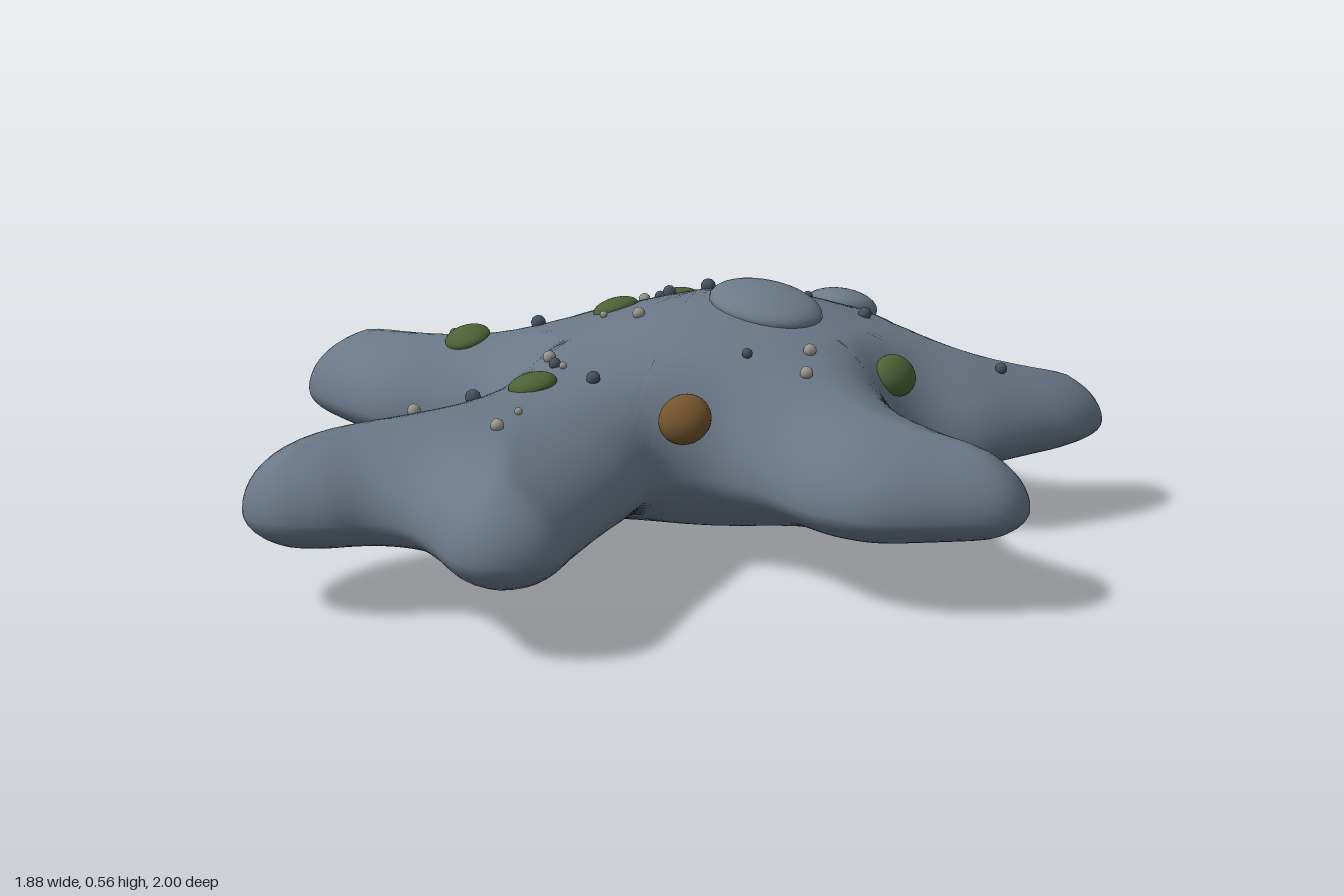
import * as THREE from 'three';
import { mergeVertices } from 'three/addons/utils/BufferGeometryUtils.js';

const mat = (name, color) => {
  const m = new THREE.MeshStandardMaterial({ color });
  m.name = name;
  return m;
};

// Outline of the lobed body, (x, z) pairs running right arm -> back -> left -> front
const OUTLINE = [
  .94, -.25, .915, -.33, .82, -.385, .7, -.375, .52, -.365, .445, -.41, .445, -.48, .52, -.6, .555, -.78,
  .56, -.85, .54, -.95, .5, -.985, .42, -1, .33, -.9, .24, -.81, .15, -.77, .08, -.8, 0, -.89, -.1, -.93, -.2, -.9,
  -.26, -.83, -.29, -.72, -.33, -.63, -.42, -.59, -.6, -.605, -.7, -.55, -.74, -.46, -.7, -.37, -.6, -.26,
  -.56, -.17, -.59, -.08, -.7, 0, -.88, .1, -.94, .19, -.92, .29, -.86, .355, -.75, .375, -.55, .36,
  -.4, .28, -.31, .25, -.24, .28, -.21, .4, -.22, .8, -.16, .945, -.08, .995, 0, .985, .08, .91, .13, .82,
  .2, .78, .3, .79, .45, .82, .53, .775, .565, .67, .495, .545, .42, .42, .35, .295, .28, .17, .297, .11,
  .345, .06, .45, .035, .65, .045, .77, 0, .87, -.12,
];
const COLUMNS = 360, RINGS = 26, MID = 0.21;
const HUB = new THREE.Vector3(-0.1, 0, -0.25);

const controls = [];
for (let i = 0; i < OUTLINE.length; i += 2) controls.push(new THREE.Vector3(OUTLINE[i], 0, OUTLINE[i + 1]));
const rim = new THREE.CatmullRomCurve3(controls, true).getSpacedPoints(COLUMNS).slice(0, COLUMNS);

// Distance from a point to the rim
function rimDistance(x, z) {
  let best = Infinity;
  for (let i = 0; i < COLUMNS; i++) {
    const a = rim[i], b = rim[(i + 1) % COLUMNS];
    const ex = b.x - a.x, ez = b.z - a.z;
    const t = THREE.MathUtils.clamp(((x - a.x) * ex + (z - a.z) * ez) / (ex * ex + ez * ez), 0, 1);
    best = Math.min(best, Math.hypot(x - a.x - t * ex, z - a.z - t * ez));
  }
  return best;
}

// Height of the upper or lower skin: a central dome fading into round-edged arms
function skinHeight(x, z, upper) {
  const dome = Math.exp(-((x - 0.03) ** 2 + (z + 0.28) ** 2) / 0.17);
  const belly = Math.exp(-(x * x + (z + 0.26) ** 2) / 0.13);
  const full = upper ? 0.376 + 0.02 * z + 0.155 * dome : 0.112 - 0.015 * z * (1 - belly) - 0.115 * belly;
  const rounding = 0.12 + 0.19 * (1 - dome) ** 2;
  const q = 1 - Math.min(rimDistance(x, z) / rounding, 1);
  return MID + (full - MID) * Math.sqrt(1 - q * q);
}

function bodyGeometry() {
  const positions = [], index = [];
  for (let r = 0; r <= 2 * RINGS; r++) {
    const s = r === 2 * RINGS ? 0 : Math.sin((r / RINGS) * Math.PI / 2);
    for (const p of rim) {
      const x = HUB.x + s * (p.x - HUB.x), z = HUB.z + s * (p.z - HUB.z);
      positions.push(x, r === RINGS ? MID : skinHeight(x, z, r < RINGS), z);
    }
  }
  for (let r = 0; r < 2 * RINGS; r++) {
    for (let i = 0; i < COLUMNS; i++) {
      const j = (i + 1) % COLUMNS, a = r * COLUMNS, b = a + COLUMNS;
      if (r > 0) index.push(a + i, b + j, a + j);
      if (r < 2 * RINGS - 1) index.push(a + i, b + i, b + j);
    }
  }
  const g = new THREE.BufferGeometry();
  g.setAttribute('position', new THREE.Float32BufferAttribute(positions, 3));
  g.setIndex(index);
  const merged = mergeVertices(g, 1e-5);
  merged.computeVertexNormals();
  return merged;
}

export function createModel() {
  const group = new THREE.Group();
  const skin = mat('slate skin', 0x697786);
  const pale = mat('pale slate', 0x6c7a88);
  const moss = mat('moss green', 0x4c6136);
  const rust = mat('rust brown', 0x74552c);
  const dark = mat('dark grit', 0x465260);
  const light = mat('light grit', 0x9a9891);

  const body = new THREE.Mesh(bodyGeometry(), skin);
  body.name = 'body';
  group.add(body);

  // Place a flattened blob on the upper skin, tilted to follow it
  const up = new THREE.Vector3(0, 1, 0);
  function addBlob(name, geometry, material, x, z, rx, ry, rz, lift = 0) {
    const e = 0.02;
    const normal = new THREE.Vector3(
      skinHeight(x - e, z, true) - skinHeight(x + e, z, true), 2 * e,
      skinHeight(x, z - e, true) - skinHeight(x, z + e, true)).normalize();
    const m = new THREE.Mesh(geometry, material);
    m.name = name;
    m.position.set(x, skinHeight(x, z, true), z).addScaledVector(normal, lift);
    m.quaternion.setFromUnitVectors(up, normal);
    m.scale.set(rx, ry, rz);
    group.add(m);
  }

  const ball = new THREE.SphereGeometry(1, 28, 18);
  const grain = new THREE.IcosahedronGeometry(1, 1);

  // Two large swellings
  addBlob('topSwelling', ball, pale, 0.11, -0.28, 0.145, 0.046, 0.12, -0.01);
  addBlob('backSwelling', ball, pale, -0.1, -0.7, 0.098, 0.046, 0.084, -0.006);

  // Moss patches and one rust patch
  for (const [x, z] of [[-.38, -.43], [-.26, -.13], [-.5, .13], [.01, .31]])
    addBlob('mossPatch', ball, moss, x, z, 0.053, 0.025, 0.056);
  addBlob('mossPatch', ball, moss, 0.38, -0.43, 0.05, 0.035, 0.055, 0.006);
  addBlob('rustPatch', ball, rust, 0.267, 0.087, 0.055, 0.042, 0.06, 0.015);

  // Scattered grit
  const darkGrit = [[-.12, -.61], [-.43, -.4], [-.23, -.27], [-.11, -.29], [-.6, .1], [-.04, .21], [.1, .21],
    [-.06, .42], [.28, -.08], [.43, -.72], [.18, -.52], [-.39, 0]];
  const lightGrit = [[-.14, -.56], [-.51, -.455], [-.53, -.43], [.34, -.21], [.41, -.14], [-.08, -.06],
    [-.1, .18], [-.07, .57], [.2, .54], [.15, .45], [-.01, .21], [-.2, -.05]];
  darkGrit.forEach(([x, z], i) => {
    const r = 0.012 + 0.002 * (i % 4);
    addBlob('darkGrain', grain, dark, x, z, r, r, r, 0.006);
  });
  lightGrit.forEach(([x, z], i) => {
    const r = i < 9 ? 0.015 : 0.009;
    addBlob('lightGrain', grain, light, x, z, r, r, r, 0.006);
  });
  return group;
}
